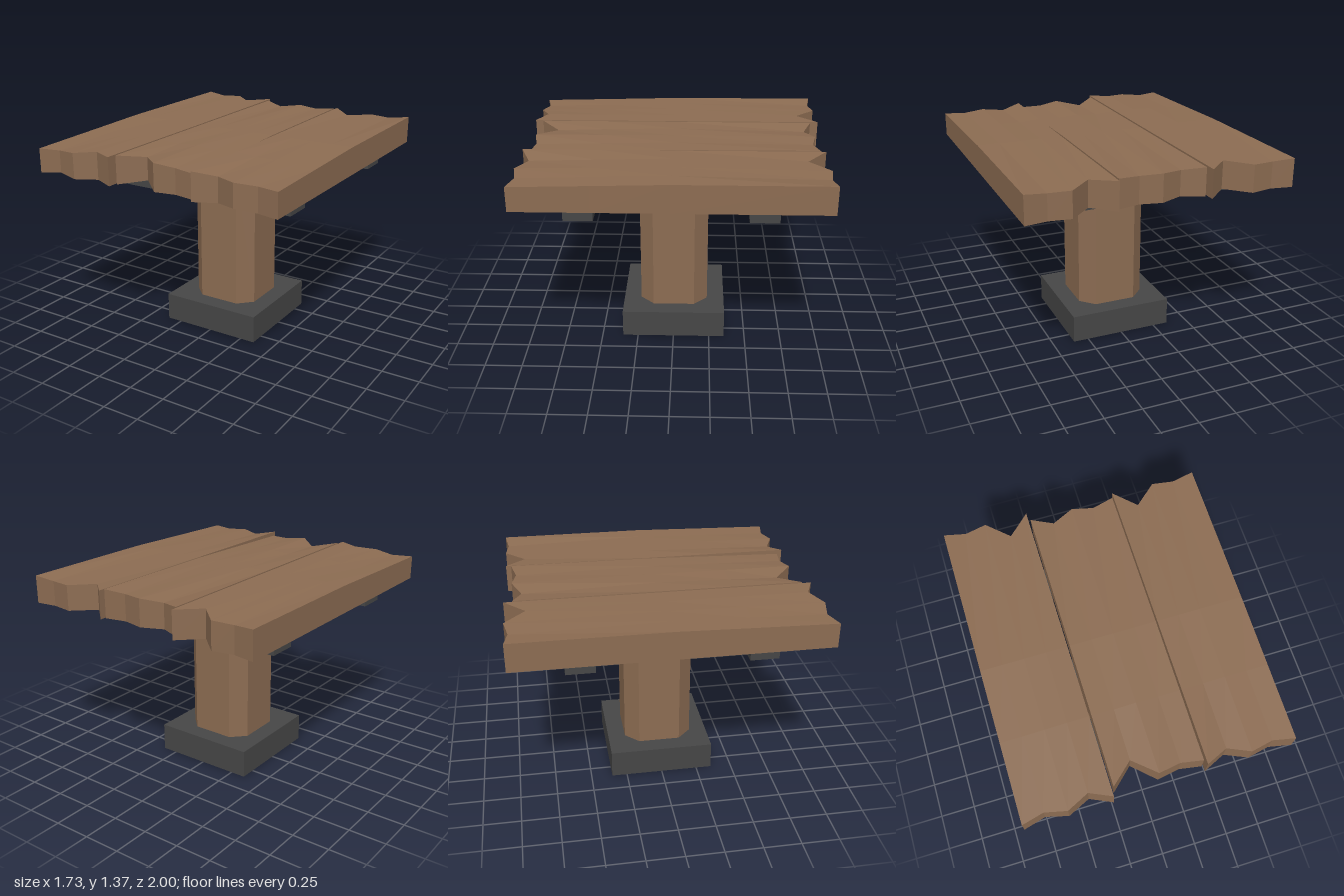
import * as THREE from 'three';

const wood = new THREE.MeshStandardMaterial({ color: 0x8c6c52 });
wood.name = 'brown wood';
const iron = new THREE.MeshStandardMaterial({ color: 0x464646 });
iron.name = 'dark grey iron';

const BOTTOM = 1.185;
const TOP = 1.37;

function addBox(group, name, size, position) {
  const mesh = new THREE.Mesh(new THREE.BoxGeometry(...size), iron);
  mesh.name = name;
  mesh.position.set(...position);
  group.add(mesh);
}

// Plank with ragged ends: a segmented box whose vertices are moved column by column
function plankGeometry({ x0, x1, back, front, backTop, frontTop, frontBottom }) {
  const box = new THREE.BoxGeometry(1, 1, 1, 4, 1, 3);
  const p = box.attributes.position;
  for (let i = 0; i < p.count; i++) {
    const col = Math.round((p.getX(i) + 0.5) * 4);
    const row = Math.round((p.getZ(i) + 0.5) * 3);
    const isTop = p.getY(i) > 0;
    const z = [back[col], 0, 0.48, front[col]][row];
    const top = [backTop[col], TOP, (TOP + frontTop[col]) / 2, frontTop[col]][row];
    const bottom = row === 3 ? frontBottom[col] : BOTTOM;
    p.setXYZ(i, x0 + (x1 - x0) * col / 4, isTop ? top : bottom, z);
  }
  const flat = box.toNonIndexed();
  flat.computeVertexNormals();
  return flat;
}

const planks = [
  {
    name: 'rightPlank', x0: -0.865, x1: -0.3,
    back: [-1, -0.975, -1, -0.865, -1],
    front: [0.995, 0.96, 0.995, 0.93, 0.995],
    backTop: [1.372, 1.36, 1.366, 1.37, 1.372],
    frontTop: [1.345, 1.343, 1.355, 1.368, 1.37],
    frontBottom: [1.185, 1.197, 1.185, 1.187, 1.185],
  },
  {
    name: 'middlePlank', x0: -0.285, x1: 0.285,
    back: [-0.945, -0.885, -0.945, -0.915, -0.945],
    front: [0.94, 0.81, 0.94, 0.915, 0.94],
    backTop: [1.37, 1.352, 1.368, 1.362, 1.374],
    frontTop: [1.37, 1.35, 1.367, 1.35, 1.345],
    frontBottom: [1.185, 1.2, 1.185, 1.185, 1.185],
  },
  {
    name: 'leftPlank', x0: 0.295, x1: 0.865,
    back: [-0.98, -0.85, -0.98, -0.96, -0.98],
    front: [0.975, 0.91, 0.975, 0.945, 0.975],
    backTop: [1.372, 1.358, 1.355, 1.352, 1.37],
    frontTop: [1.37, 1.345, 1.35, 1.343, 1.345],
    frontBottom: [1.185, 1.185, 1.197, 1.185, 1.185],
  },
];

export function createModel() {
  const group = new THREE.Group();
  group.name = 'table';

  // Foot block and the two crossbars under the top
  addBox(group, 'base', [0.71, 0.19, 0.71], [0, 0.095, 0]);
  for (const side of [1, -1]) {
    addBox(group, side > 0 ? 'frontCrossbar' : 'backCrossbar',
      [1.555, 0.095, 0.185], [0, 1.1375, side * 0.5675]);
  }

  // Post: square with chamfered corners
  const a = 0.235, c = 0.143;
  const section = new THREE.Shape([
    [a, -c], [a, c], [c, a], [-c, a], [-a, c], [-a, -c], [-c, -a], [c, -a],
  ].map(([x, y]) => new THREE.Vector2(x, y)));
  const postGeometry = new THREE.ExtrudeGeometry(section, { depth: BOTTOM - 0.19, bevelEnabled: false });
  postGeometry.rotateX(-Math.PI / 2);
  const post = new THREE.Mesh(postGeometry, wood);
  post.name = 'post';
  post.position.y = 0.19;
  group.add(post);

  // Table top planks
  for (const plank of planks) {
    const mesh = new THREE.Mesh(plankGeometry(plank), wood);
    mesh.name = plank.name;
    group.add(mesh);
  }
  return group;
}
